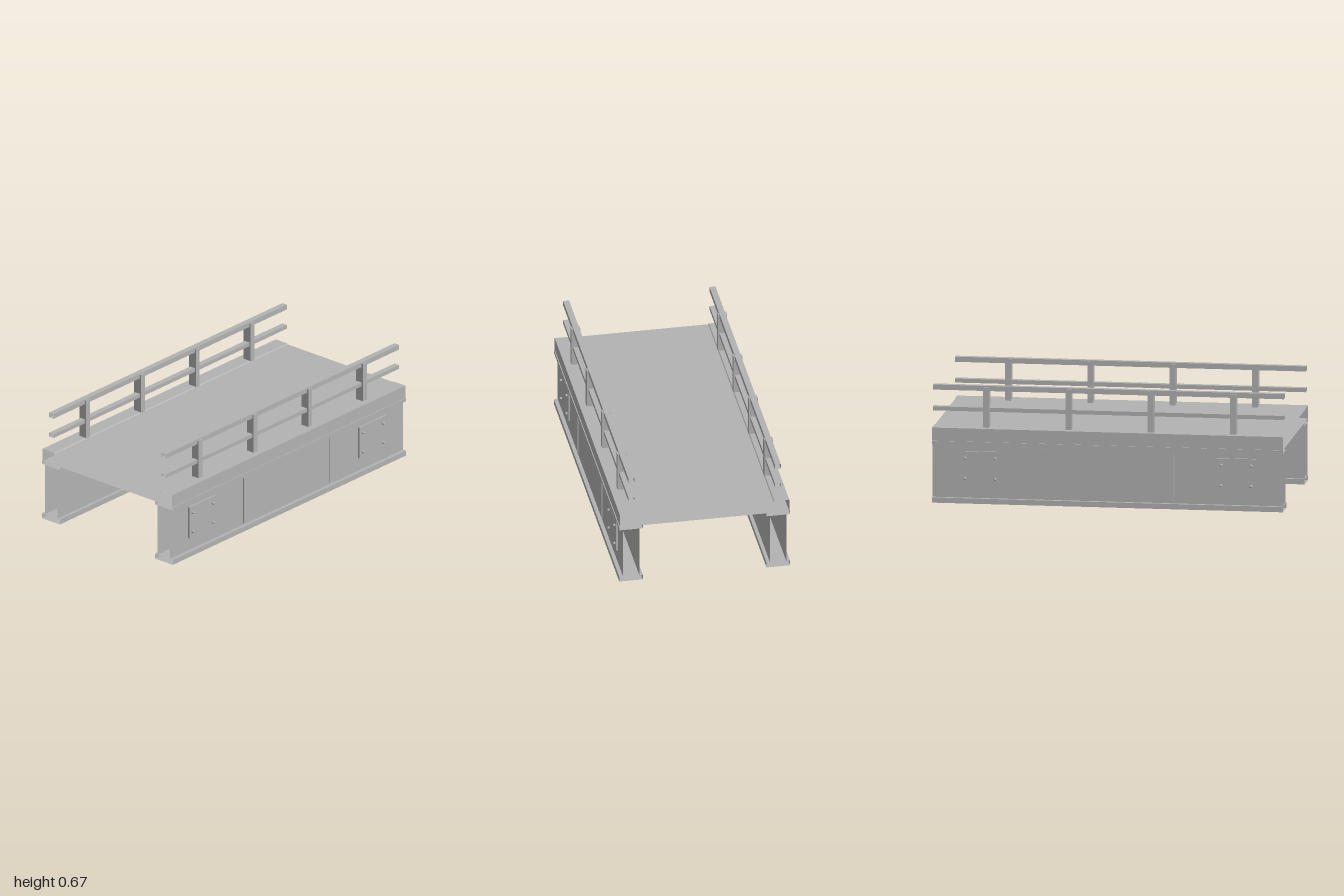
import * as THREE from 'three';

const steel = new THREE.MeshStandardMaterial({ color: 0xb2b2b2, side: THREE.DoubleSide });
steel.name = 'grey steel';

// Open-ended shell: a closed (z, y) cross-section, counterclockwise, run along x
function shell(profile) {
  const pos = [];
  profile.forEach((a, i) => {
    const b = profile[(i + 1) % profile.length];
    const p = [[-1, a], [1, a], [1, b], [-1, a], [1, b], [-1, b]];
    for (const [x, [z, y]] of p) pos.push(x, y, z);
  });
  const g = new THREE.BufferGeometry();
  g.setAttribute('position', new THREE.Float32BufferAttribute(pos, 3));
  g.computeVertexNormals();
  return g;
}

const rect = (z0, z1, y0, y1) => [[z0, y0], [z1, y0], [z1, y1], [z0, y1]];

function add(parent, name, geometry, x = 0, y = 0, z = 0) {
  const m = new THREE.Mesh(geometry, steel);
  m.name = name;
  m.position.set(x, y, z);
  parent.add(m);
  return m;
}

// Round-headed bolt along +y
function boltGeometry() {
  const pts = [new THREE.Vector2(0.008, 0)];
  for (let i = 0; i <= 4; i++) {
    const t = (i / 4) * Math.PI / 2;
    pts.push(new THREE.Vector2(0.008 * Math.cos(t), 0.006 + 0.008 * Math.sin(t)));
  }
  return new THREE.LatheGeometry(pts, 12);
}

export function createModel() {
  const model = new THREE.Group();
  model.name = 'bridgeSection';

  // Deck slab with shallow raised kerbs
  add(model, 'deck', shell([
    [-0.485, 0.355], [0.485, 0.355], [0.485, 0.43], [0.4, 0.43],
    [0.395, 0.425], [-0.395, 0.425], [-0.4, 0.43], [-0.485, 0.43],
  ]));

  const bolt = boltGeometry();
  for (const s of [1, -1]) {
    const side = new THREE.Group();
    side.name = s > 0 ? 'frontSide' : 'backSide';
    model.add(side);

    const bar = (name, zIn, zOut, y0, y1) =>
      add(side, name, shell(rect(Math.min(s * zIn, s * zOut), Math.max(s * zIn, s * zOut), y0, y1)));

    // Hollow box girder with projecting flanges
    bar('girderWeb', 0.375, 0.468, 0.03, 0.335);
    bar('bottomFlange', 0.355, 0.49, 0, 0.03);
    bar('topFlange', 0.355, 0.49, 0.335, 0.355);

    // Thin joint strips on the web
    for (const x of [-0.37, 0.37])
      add(side, 'webStrip', new THREE.BoxGeometry(0.006, 0.28, 0.006), x, 0.18, s * 0.471);

    // Bolted cover plates
    for (const x of [-0.732, 0.727]) {
      add(side, 'coverPlate', new THREE.BoxGeometry(0.226, 0.19, 0.011), x, 0.203, s * 0.4735);
      for (const dx of [-0.086, 0.086])
        for (const y of [0.142, 0.26])
          add(side, 'bolt', bolt, x + dx, y, s * 0.479).rotation.x = s * Math.PI / 2;
    }

    // Railing
    bar('topRail', 0.403, 0.437, 0.639, 0.668);
    bar('middleRail', 0.403, 0.437, 0.52, 0.543);
    for (const x of [-0.711, -0.241, 0.228, 0.697])
      add(side, 'railPost', new THREE.BoxGeometry(0.034, 0.24, 0.051), x, 0.541, s * 0.421);
  }
  return model;
}
